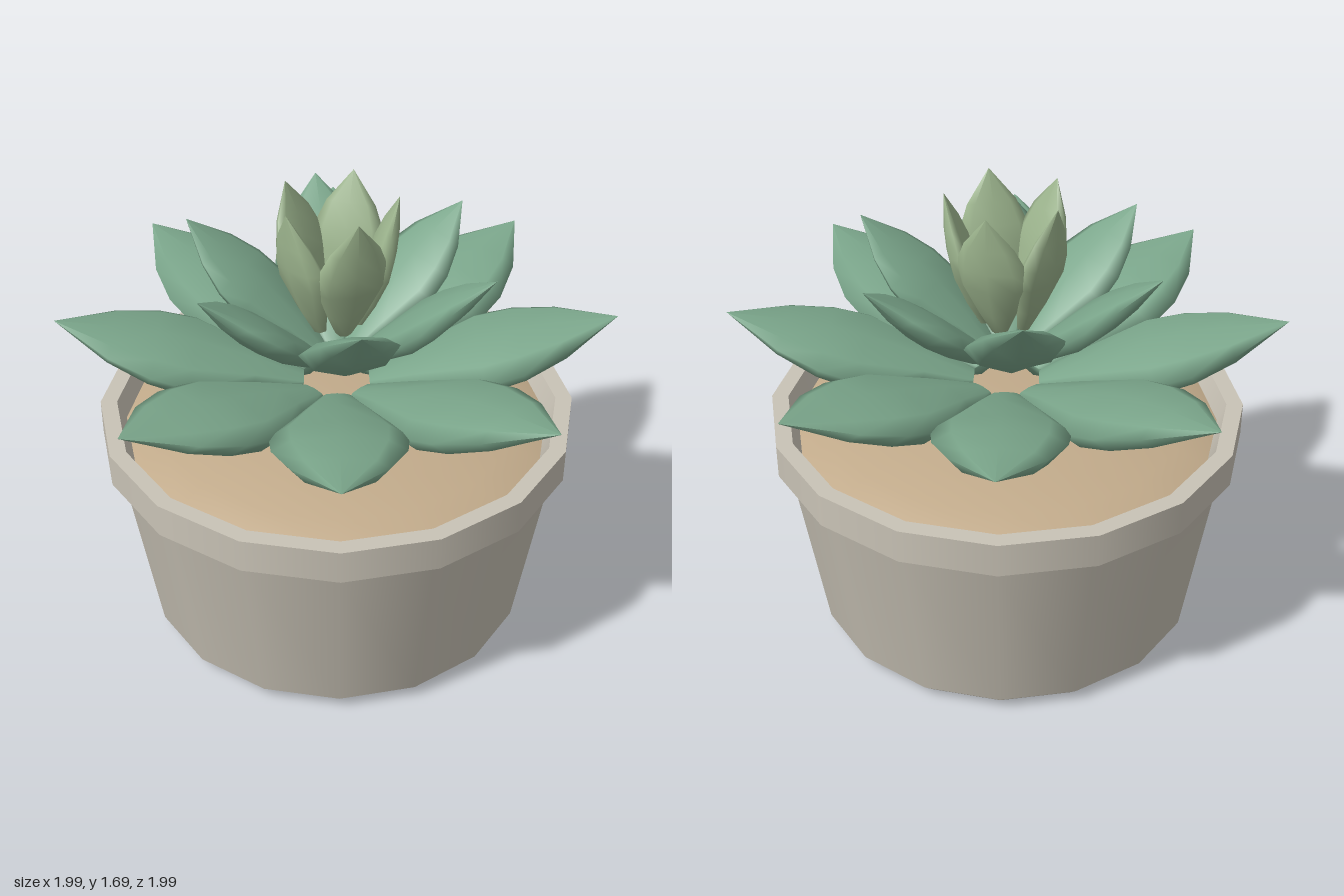
import * as THREE from 'three';

const mat = (color) => new THREE.MeshStandardMaterial({ color, side: THREE.DoubleSide });

// Leaf of unit length along +z: [position, half width, rise above, keel below]
const LEAF = [
  [0, 0.06, 0.012, 0.055], [0.2, 0.145, 0.04, 0.1], [0.45, 0.258, 0.06, 0.118],
  [0.6, 0.245, 0.058, 0.105], [0.77, 0.175, 0.04, 0.072], [1, 0, 0, 0],
];
const SIDES = 8;

// Plump pointed leaf: oval cross-sections joined in loops, smooth all round
function leafGeometry() {
  const pos = [], index = [];
  for (const [z, w, up, down] of LEAF) {
    for (let i = 0; i < SIDES; i++) {
      const a = (i / SIDES) * Math.PI * 2, s = Math.sin(a);
      pos.push(w * Math.cos(a), s * (s > 0 ? up : down), z);
    }
  }
  for (let r = 0; r < LEAF.length - 1; r++) {
    for (let i = 0; i < SIDES; i++) {
      const a = r * SIDES + i, b = r * SIDES + (i + 1) % SIDES;
      index.push(a, b, a + SIDES, b, b + SIDES, a + SIDES);
    }
  }
  // Flat cut at the root
  for (let i = 1; i < SIDES - 1; i++) index.push(0, i + 1, i);
  const g = new THREE.BufferGeometry();
  g.setAttribute('position', new THREE.Float32BufferAttribute(pos, 3));
  g.setIndex(index);
  g.computeVertexNormals();
  return g;
}

export function createModel() {
  const model = new THREE.Group();
  model.name = 'pottedSucculent';

  const lathe = (name, points, color) => {
    const profile = points.map(([x, y]) => new THREE.Vector2(x, y));
    const mesh = new THREE.Mesh(new THREE.LatheGeometry(profile, 16), mat(color));
    mesh.name = name;
    model.add(mesh);
  };

  // Pot: each piece is smooth, with sharp edges where pieces meet
  const clay = 0xc9c3b6;
  lathe('potBase', [[0, 0], [0.66, 0]], clay);
  lathe('potWall', [[0.66, 0], [0.71, 0.05], [0.81, 0.695], [0.86, 0.735]], clay);
  lathe('rimSide', [[0.86, 0.735], [0.86, 0.86]], clay);
  lathe('rimTop', [[0.86, 0.86], [0.8, 0.86]], clay);
  lathe('rimInside', [[0.8, 0.86], [0.755, 0.74]], clay);

  // Slightly domed soil
  lathe('soil', [[0.77, 0.79], [0.66, 0.83], [0.46, 0.862], [0.2, 0.885], [0, 0.888]], 0xc2ab8b);

  // Rings of leaves, each from a root point to a tip point (radius, height)
  const leaf = leafGeometry();
  const rings = [
    { name: 'outerLeaf', count: 8, turn: 0, root: [0.12, 0.96], tip: [0.995, 1.21], color: 0x7ba68b },
    { name: 'middleLeaf', count: 6, turn: -8, root: [0.06, 1.07], tip: [0.575, 1.49], color: 0x7ba68b },
    { name: 'innerLeaf', count: 5, turn: -8, root: [0.07, 1.2], tip: [0.213, 1.69], color: 0x9db58e },
  ];
  for (const { name, count, turn, root, tip, color } of rings) {
    const dr = tip[0] - root[0], dy = tip[1] - root[1];
    const material = mat(color);
    const ring = new THREE.Group();
    ring.name = name + 'Ring';
    for (let i = 0; i < count; i++) {
      const pivot = new THREE.Group();
      pivot.name = name;
      pivot.rotation.y = THREE.MathUtils.degToRad(turn + (360 / count) * i);
      const mesh = new THREE.Mesh(leaf, material);
      mesh.name = name + 'Blade';
      mesh.position.set(0, root[1], root[0]);
      mesh.rotation.x = -Math.atan2(dy, dr);
      mesh.scale.setScalar(Math.hypot(dr, dy));
      pivot.add(mesh);
      ring.add(pivot);
    }
    model.add(ring);
  }
  return model;
}
